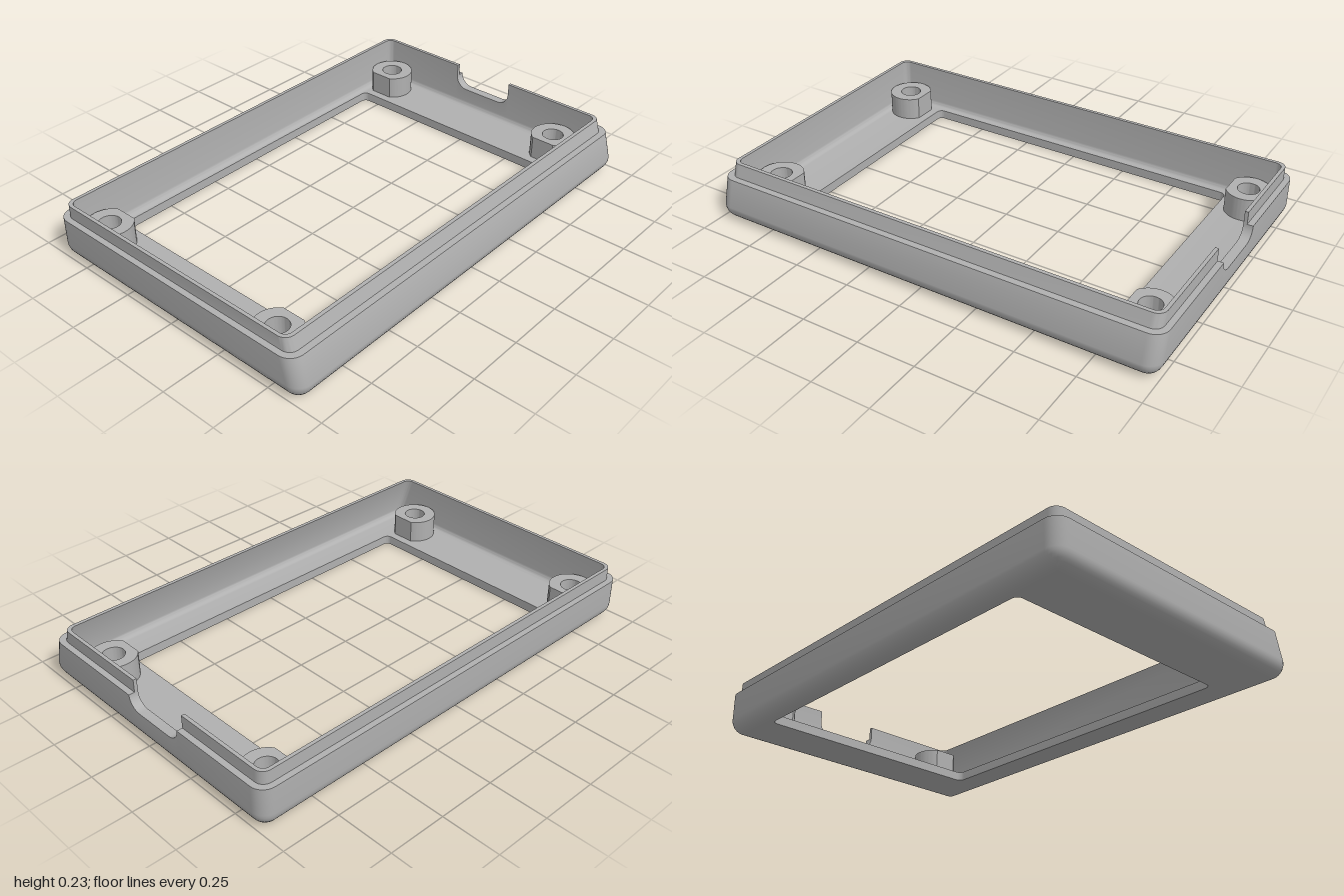
import * as THREE from 'three';
import { toCreasedNormals } from 'three/addons/utils/BufferGeometryUtils.js';

const LEAN = 0.31; // inward slope of the leaning side wall
const CORNER_STEPS = 8;

// Cross-section of the shell, from the window edge underneath, outwards, up and back inside
function shellLevels() {
  const levels = [];
  const add = (y, left, right, halfZ, r) => levels.push({ y, left, right, halfZ, r });
  add(0, -0.58, 0.48, 0.742, 0.025);
  const R = 0.065; // rounded bottom edge
  for (let i = 0; i <= 8; i++) {
    const a = (i / 8) * Math.PI / 2;
    const inset = R * (1 - Math.sin(a));
    add(R * (1 - Math.cos(a)), -0.65 + inset, 0.65 - inset, 1 - inset, Math.max(0.06 - inset, 0.006));
  }
  add(0.18, -0.65, 0.618, 1, 0.06); // shelf
  add(0.18, -0.625, 0.59, 0.975, 0.04);
  add(0.235, -0.625, 0.573, 0.975, 0.04); // lip
  add(0.235, -0.61, 0.557, 0.96, 0.03);
  const F = 0.025, floor = 0.04; // fillet between wall and floor
  const foot = 0.557 + LEAN * (0.235 - floor - F);
  for (let i = 0; i <= 5; i++) {
    const a = (i / 5) * Math.PI / 2;
    const inset = F * (1 - Math.cos(a));
    add(floor + F * (1 - Math.sin(a)), -0.61 + inset, foot - inset, 0.96 - inset, 0.03 - inset * 0.5);
  }
  add(floor, -0.58, 0.48, 0.742, 0.025);
  levels.push(levels[0]);
  return levels;
}

// Stations around the ring: four rounded corners plus the notch in the back wall
function ringStations() {
  const stations = [];
  const corner = (sx, sz, start) => {
    for (let i = 0; i <= CORNER_STEPS; i++) {
      stations.push({ sx, sz, a: start + (i / CORNER_STEPS) * Math.PI / 2 });
    }
  };
  corner(1, 1, 0);
  corner(-1, 1, Math.PI / 2);
  corner(-1, -1, Math.PI);
  const x0 = -0.19, x1 = 0.1, r = 0.055, top = 0.18, n = 8;
  stations.push({ x: x0, limit: 1 });
  for (let i = 0; i <= n; i++) {
    const t = (i / n) * Math.PI / 2;
    stations.push({ x: x0 + r * (1 - Math.cos(t)), limit: top - r * Math.sin(t) });
  }
  for (let i = n; i >= 0; i--) {
    const t = (i / n) * Math.PI / 2;
    stations.push({ x: x1 - r * (1 - Math.cos(t)), limit: top - r * Math.sin(t) });
  }
  stations.push({ x: x1, limit: 1 });
  corner(1, -1, Math.PI * 1.5);
  return stations;
}

function shellPoint(s, l) {
  if (s.limit !== undefined) return new THREE.Vector3(s.x, Math.min(l.y, s.limit), -l.halfZ);
  const cx = s.sx > 0 ? l.right - l.r : l.left + l.r;
  return new THREE.Vector3(cx + l.r * Math.cos(s.a), l.y, s.sz * (l.halfZ - l.r) + l.r * Math.sin(s.a));
}

function shellGeometry() {
  const levels = shellLevels(), stations = ringStations(), out = [];
  const cross = new THREE.Vector3(), e = new THREE.Vector3();
  const tri = (a, b, c) => {
    cross.subVectors(b, a).cross(e.subVectors(c, a));
    if (cross.length() < 1e-9) return; // skip collapsed faces
    for (const p of [a, b, c]) out.push(p.x, p.y, p.z);
  };
  for (let i = 0; i < stations.length; i++) {
    const s = stations[i], t = stations[(i + 1) % stations.length];
    for (let j = 0; j < levels.length - 1; j++) {
      const a = shellPoint(s, levels[j]), b = shellPoint(s, levels[j + 1]);
      const c = shellPoint(t, levels[j + 1]), d = shellPoint(t, levels[j]);
      tri(a, b, d);
      tri(b, c, d);
    }
  }
  const g = new THREE.BufferGeometry();
  g.setAttribute('position', new THREE.Float32BufferAttribute(out, 3));
  return toCreasedNormals(g, 0.6);
}

// Screw post: ring with one flat side facing the window
function postGeometry() {
  const r = 0.095, cut = Math.asin(0.08 / r);
  const shape = new THREE.Shape();
  shape.absarc(0, 0, r, Math.PI - cut, Math.PI * 2 + cut, false);
  shape.closePath();
  const hole = new THREE.Path();
  hole.absarc(0, 0, 0.046, 0, Math.PI * 2, true);
  shape.holes.push(hole);
  const g = new THREE.ExtrudeGeometry(shape, { depth: 0.11, bevelEnabled: false, curveSegments: 32 });
  g.rotateX(-Math.PI / 2);
  return toCreasedNormals(g, 0.5);
}

export function createModel() {
  const model = new THREE.Group();
  model.name = 'enclosureHalf';
  const grey = new THREE.MeshStandardMaterial({ color: 0xb0b0b0 });
  grey.name = 'grey plastic';

  const shell = new THREE.Mesh(shellGeometry(), grey);
  shell.name = 'shell';
  model.add(shell);

  const postShape = postGeometry();
  for (const [x, side] of [[-0.51, 'Right'], [0.415, 'Left']]) {
    for (const [z, end] of [[0.86, 'front'], [-0.86, 'back']]) {
      const post = new THREE.Mesh(postShape, grey);
      post.name = `${end}${side}ScrewPost`;
      post.position.set(x, 0.03, z);
      if (z < 0) post.rotation.y = Math.PI;
      model.add(post);
    }
  }
  return model;
}
